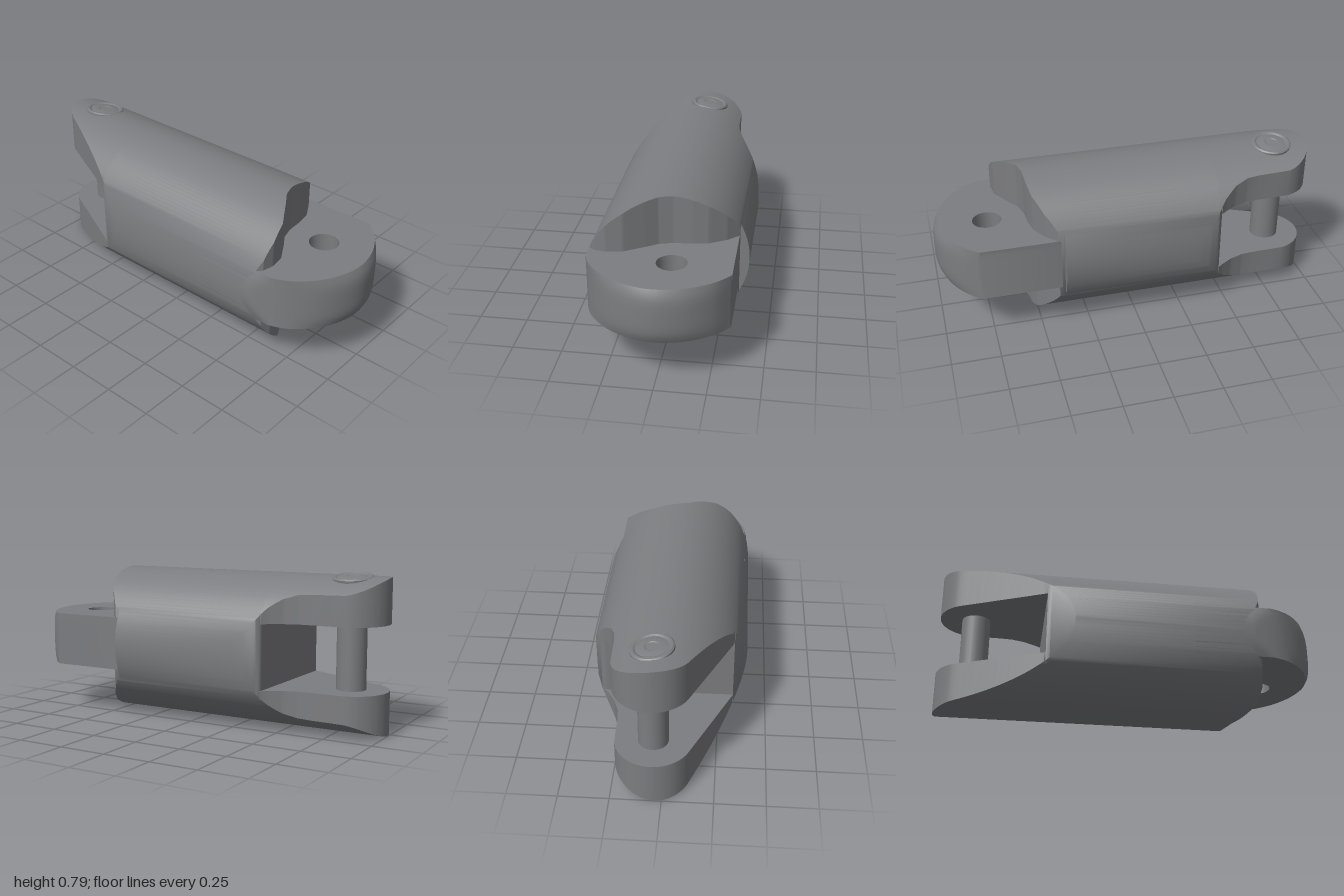
import * as THREE from 'three';
import { toCreasedNormals } from 'three/addons/utils/BufferGeometryUtils.js';

const R = 0.39; // barrel radius, axis along z at height R
const HOLE = { x: 0.05, z: 0.725, r: 0.075 };
const PIN = { x: 0.05, z: -0.81, r: 0.075 };

// Plan outline as z over x: front and back edges
const FRONT = [[-0.39, 0.55], [-0.37, 0.62], [-0.34, 0.65], [-0.28, 0.662], [-0.2, 0.65], [-0.1, 0.59],
  [-0.04, 0.55], [0.03, 0.53], [0.12, 0.525], [0.2, 0.51], [0.28, 0.465], [0.339, 0.41], [0.341, 0.38], [0.39, 0.38]];
const BACK = [[-0.39, -0.31]];
for (let i = 0; i <= 24; i++) { // rounded fork tip
  const a = Math.PI * (0.86 - 0.795 * i / 24);
  BACK.push([PIN.x + 0.19 * Math.cos(a), PIN.z - 0.19 * Math.sin(a)]);
}
BACK.push([0.238, -0.78], [0.23 + 0.01, -0.68], [0.246, -0.61], [0.27, -0.54], [0.31, -0.475],
  [0.345, -0.43], [0.37, -0.385], [0.382, -0.33], [0.39, -0.25]);

function at(table, x) {
  let i = 1;
  while (i < table.length - 1 && table[i][0] < x) i++;
  const [x0, z0] = table[i - 1], [x1, z1] = table[i];
  return THREE.MathUtils.lerp(z0, z1, THREE.MathUtils.clamp((x - x0) / (x1 - x0), 0, 1));
}
const halfHeight = (x) => Math.sqrt(Math.max(0, R * R - x * x));

// Loft along x of upright rectangles; section(x) gives [yLow, yHigh, zBack, zFront]
function loft(xMin, xMax, section) {
  const xs = [xMin, xMax];
  for (let i = 1; i < 64; i++) xs.push(-R * Math.cos(Math.PI * i / 64));
  for (const [x] of [...FRONT, ...BACK]) xs.push(x);
  const cols = xs.filter((x) => x >= xMin && x <= xMax).sort((a, b) => a - b)
    .filter((x, i, all) => i === 0 || x - all[i - 1] > 1e-4);
  const rings = cols.map((x) => {
    const [y0, y1, zb, zf] = section(x);
    return [[x, y0, zf], [x, y1, zf], [x, y1, zb], [x, y0, zb]];
  });
  const pos = [];
  const quad = (a, b, c, d) => pos.push(...a, ...b, ...c, ...a, ...c, ...d);
  for (let i = 0; i < rings.length - 1; i++) {
    for (let k = 0; k < 4; k++) {
      const n = (k + 1) % 4;
      quad(rings[i][k], rings[i + 1][k], rings[i + 1][n], rings[i][n]);
    }
  }
  quad(...rings[0]);
  quad(...rings[rings.length - 1].slice().reverse());
  const geo = new THREE.BufferGeometry();
  geo.setAttribute('position', new THREE.Float32BufferAttribute(pos, 3));
  return toCreasedNormals(geo, 0.7);
}

// Flat tongue with a bolt hole, its sides following the barrel
function tongueGeometry() {
  const edge = new THREE.SplineCurve([[0.34, 0.8], [0.26, 0.895], [0.14, 0.97], [0, 1], [-0.13, 0.97],
    [-0.25, 0.89], [-0.345, 0.76], [-0.39, 0.6]].map(([x, z]) => new THREE.Vector2(x, -z)));
  const outline = [new THREE.Vector2(-0.39, -0.3), ...edge.getPoints(40).reverse(), new THREE.Vector2(0.34, -0.3)];
  const shape = new THREE.Shape(outline);
  shape.holes.push(new THREE.Path().absarc(HOLE.x, -HOLE.z, HOLE.r, 0, Math.PI * 2, true));
  const geo = new THREE.ExtrudeGeometry(shape, { depth: 0.28, steps: 10, bevelEnabled: false, curveSegments: 12 });
  geo.rotateX(-Math.PI / 2).translate(0, 0.25, 0);
  const p = geo.attributes.position;
  for (let i = 0; i < p.count; i++) {
    const dy = p.getY(i) - R, w = halfHeight(dy);
    p.setX(i, THREE.MathUtils.clamp(p.getX(i), -w, w));
    if (p.getZ(i) > 0.8) p.setZ(i, p.getZ(i) - 0.025 * Math.pow(dy / 0.14, 4) * (p.getZ(i) - 0.8) / 0.2);
  }
  return toCreasedNormals(geo, 0.7);
}

export function createModel() {
  const group = new THREE.Group();
  const steel = new THREE.MeshStandardMaterial({ color: 0x7c7d80 });
  steel.name = 'greySteel';
  const add = (name, geo) => {
    const mesh = new THREE.Mesh(geo, steel);
    mesh.name = name;
    group.add(mesh);
    return mesh;
  };

  // Barrel between the fork and the tongue
  add('barrel', loft(-R, R, (x) => {
    const h = halfHeight(x);
    return [R - h, R + h, Math.max(at(BACK, x), -0.45), at(FRONT, x)];
  }));

  // Upper and lower fork arms
  const armBack = (x) => Math.min(at(BACK, x), -0.45);
  add('upperForkArm', loft(-0.322, 0.33, (x) => [0.55, R + halfHeight(x), armBack(x), -0.44]));
  add('lowerForkArm', loft(-0.322, 0.33, (x) => [R - halfHeight(x), 0.22, armBack(x), -0.44]));

  add('tongue', tongueGeometry());

  // Pin through the fork
  add('pin', new THREE.CylinderGeometry(PIN.r, PIN.r, 0.5, 24)).position.set(PIN.x, R, PIN.z);

  // Pin head: raised rim around a dished middle, tilted to lie on the barrel curve
  const profile = [[0.105, -0.03], [0.105, -0.002], [0.098, 0.004], [0.088, 0.004], [0.078, -0.002],
    [0.06, 0.003], [0.035, 0.004], [0.03, 0.001], [0, 0.001]].map(([r, y]) => new THREE.Vector2(r, y));
  const head = add('pinHead', toCreasedNormals(new THREE.LatheGeometry(profile, 24), 0.5));
  head.position.set(PIN.x, R + halfHeight(PIN.x), PIN.z);
  head.rotation.z = -Math.asin(PIN.x / R);

  return group;
}
